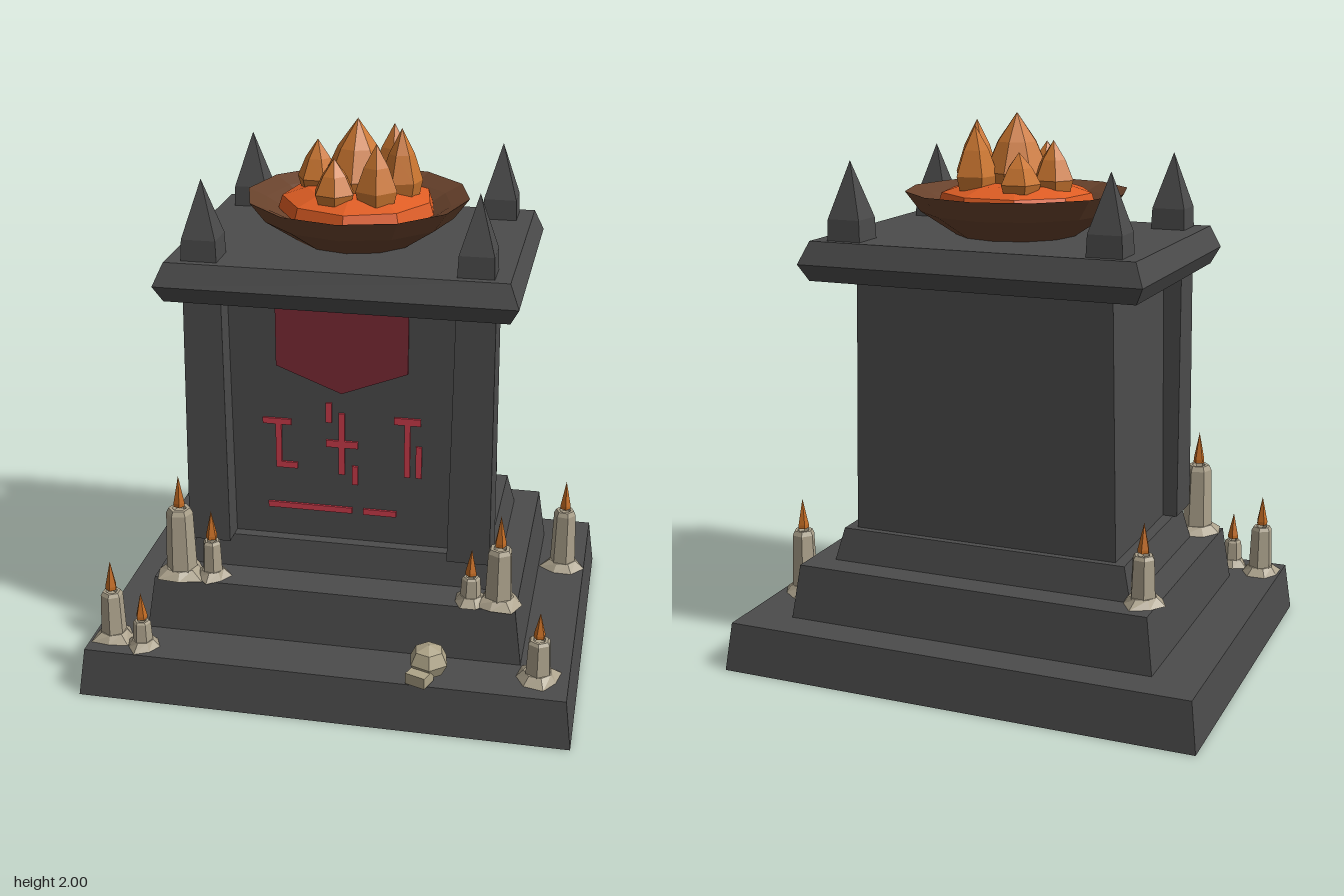
import * as THREE from 'three';

const mat = (name, color) => {
  const m = new THREE.MeshStandardMaterial({ color });
  m.name = name;
  return m;
};

export function createModel() {
  const root = new THREE.Group();
  root.name = 'altar';
  const stone = mat('stone', 0x4b4b4b);
  const cloth = mat('banner cloth', 0x7a2a35);
  const rune = mat('rune red', 0xc93a49);
  const bronze = mat('bowl bronze', 0x68422c);
  const ember = mat('ember', 0xdf5d24);
  const fire = mat('fire', 0xcb7630);
  const candleFire = mat('candle flame', 0xc36c24);
  const wax = mat('wax', 0xaca28c);
  const bone = mat('bone', 0xaea488);

  // Adds a faceted mesh
  function add(parent, name, geo, material, x = 0, y = 0, z = 0) {
    const flat = geo.index ? geo.toNonIndexed() : geo;
    flat.computeVertexNormals();
    const mesh = new THREE.Mesh(flat, material);
    mesh.name = name;
    mesh.position.set(x, y, z);
    parent.add(mesh);
    return mesh;
  }
  // Box standing on y = 0 whose top has its own half sizes
  function taper(bx, bz, tx, tz, h) {
    const g = new THREE.BoxGeometry(2, h, 2).translate(0, h / 2, 0);
    const p = g.attributes.position;
    for (let i = 0; i < p.count; i++) {
      const top = p.getY(i) > h / 2;
      p.setX(i, p.getX(i) * (top ? tx : bx));
      p.setZ(i, p.getZ(i) * (top ? tz : bz));
    }
    return g;
  }
  const lathe = (pts, n) => new THREE.LatheGeometry(pts.map(([x, y]) => new THREE.Vector2(x, y)), n);

  // Stepped plinth
  add(root, 'baseStep', taper(0.89, 0.695, 0.867, 0.675, 0.18), stone);
  add(root, 'middleStep', taper(0.69, 0.51, 0.662, 0.488, 0.2), stone, 0, 0.18, -0.035);
  add(root, 'upperStep', taper(0.57, 0.368, 0.54, 0.346, 0.12), stone, 0, 0.38, -0.055);

  // Shaft with two front corner pillars
  add(root, 'shaft', taper(0.5, 0.3125, 0.477, 0.3125, 0.935), stone, 0, 0.5, -0.0625);
  for (const s of [-1, 1])
    add(root, 'cornerPillar', taper(0.077, 0.086, 0.068, 0.072, 0.935), stone, s * 0.477, 0.5, 0.264);

  // Top slab with bevelled edge
  add(root, 'slabUnderside', taper(0.598, 0.445, 0.628, 0.475, 0.06), stone, 0, 1.432, -0.055);
  add(root, 'slabTop', taper(0.628, 0.475, 0.594, 0.443, 0.08), stone, 0, 1.492, -0.055);

  // Corner pinnacles
  for (const sx of [-1, 1]) for (const sz of [-1, 1]) {
    const g = new THREE.Group();
    g.name = 'pinnacle';
    g.position.set(sx * 0.476, 1.572, -0.055 + sz * 0.352);
    root.add(g);
    add(g, 'pinnacleBase', taper(0.063, 0.063, 0.06, 0.06, 0.075), stone);
    add(g, 'pinnaclePoint', taper(0.06, 0.06, 0.0005, 0.0005, 0.198), stone, 0, 0.075);
  }

  // Banner
  const flag = new THREE.Shape();
  [[-0.237, 1.432], [-0.237, 1.172], [0, 1.08], [0.237, 1.172], [0.237, 1.432]]
    .forEach(([x, y], i) => (i ? flag.lineTo(x, y) : flag.moveTo(x, y)));
  add(root, 'banner', new THREE.ExtrudeGeometry(flag, { depth: 0.009, bevelEnabled: false }), cloth, 0, 0, 0.25);

  // Carved strokes: x0, x1, y0, y1
  [
    [-0.29, -0.185, 0.944, 0.966], [-0.243, -0.222, 0.79, 0.944], [-0.243, -0.164, 0.774, 0.797],
    [-0.012, 0.01, 0.764, 1.003], [-0.058, -0.037, 0.965, 1.04], [-0.058, 0.058, 0.87, 0.896],
    [0.037, 0.058, 0.727, 0.8], [0.19, 0.285, 0.977, 1.003], [0.227, 0.248, 0.774, 0.977],
    [0.269, 0.29, 0.774, 0.896], [-0.275, 0.037, 0.61, 0.632], [0.079, 0.2, 0.61, 0.632],
  ].forEach(([x0, x1, y0, y1]) => add(root, 'runeStroke',
    new THREE.BoxGeometry(x1 - x0, y1 - y0, 0.009), rune, (x0 + x1) / 2, (y0 + y1) / 2, 0.2545));

  // Fire bowl
  add(root, 'fireBowl', lathe([[0, 1.572], [0.22, 1.572], [0.345, 1.655], [0.4, 1.728],
    [0.335, 1.7], [0.27, 1.665], [0, 1.65]], 12), bronze, 0, 0, -0.047);
  add(root, 'emberBed', lathe([[0.285, 1.675], [0.27, 1.722], [0.18, 1.752], [0, 1.765]], 9), ember, 0, 0, -0.047);

  // Flames: x, z, radius, tip height, sides
  [
    [0, -0.047, 0.122, 2.0, 8], [-0.07, -0.2, 0.076, 1.875, 5], [0.11, -0.165, 0.08, 1.96, 5],
    [0.157, -0.04, 0.076, 1.972, 6], [0.09, 0.088, 0.076, 1.942, 5], [-0.055, 0.105, 0.076, 1.89, 6],
    [-0.153, -0.085, 0.076, 1.91, 6],
  ].forEach(([x, z, r, tip, n], i) => {
    const h = tip - 1.735;
    const g = lathe([[0, 0], [0.85 * r, 0], [r, 0.22 * h], [0.6 * r, 0.62 * h], [0, h]], n);
    add(root, 'flame', g, fire, x, 1.735, z).rotation.y = i * 1.3;
  });

  // Candles: x, z, foot height, wax top, flame tip, radius
  [
    [-0.79, 0.565, 0.18, 0.37, 0.49, 0.044], [-0.667, 0.605, 0.18, 0.285, 0.395, 0.035],
    [0.782, -0.288, 0.18, 0.425, 0.548, 0.047], [0.757, 0.542, 0.18, 0.335, 0.44, 0.046],
    [-0.573, 0.4, 0.38, 0.645, 0.772, 0.053], [-0.455, 0.4, 0.38, 0.525, 0.642, 0.037],
    [0.595, 0.392, 0.38, 0.597, 0.722, 0.05], [0.497, 0.405, 0.38, 0.48, 0.587, 0.036],
    [-0.61, -0.405, 0.38, 0.555, 0.67, 0.045],
  ].forEach(([x, z, y, top, tip, r], i) => {
    const c = new THREE.Group();
    c.name = 'candle';
    c.position.set(x, y, z);
    c.rotation.y = i * 0.7;
    root.add(c);
    const h = top - y;
    add(c, 'candleWax', lathe([[0, 0], [r * 1.08, 0], [r * 0.92, h * 0.93], [r * 0.75, h],
      [r * 0.5, h], [r * 0.42, h - 0.012], [0, h - 0.012]], 6), wax);
    // Uneven puddle of melted wax
    const pool = new THREE.CylinderGeometry(r * 1.1, r * 1.75, 0.028, 7);
    const p = pool.attributes.position;
    for (let k = 0; k < p.count; k++) {
      if (p.getY(k) > 0) continue;
      const f = 1 + 0.16 * Math.sin(3 * Math.atan2(p.getZ(k), p.getX(k)) + i);
      p.setX(k, p.getX(k) * f);
      p.setZ(k, p.getZ(k) * f);
    }
    add(c, 'waxPool', pool, wax, 0, 0.014);
    const fh = tip - top - 0.008;
    add(c, 'candleFlame', lathe([[0, 0], [0.021, 0], [0.021, 0.12 * fh], [0, fh]], 5),
      candleFire, 0, h + 0.008);
  });

  // Skull lying on the base step
  const skull = new THREE.Group();
  skull.name = 'skull';
  skull.position.set(0.378, 0.18, 0.595);
  skull.rotation.y = -0.35;
  root.add(skull);
  add(skull, 'cranium', new THREE.SphereGeometry(0.073, 6, 4).scale(1, 0.85, 1), bone, 0, 0.058, 0);
  add(skull, 'jaw', new THREE.BoxGeometry(0.075, 0.042, 0.07), bone, 0, 0.026, 0.065);

  return root;
}
